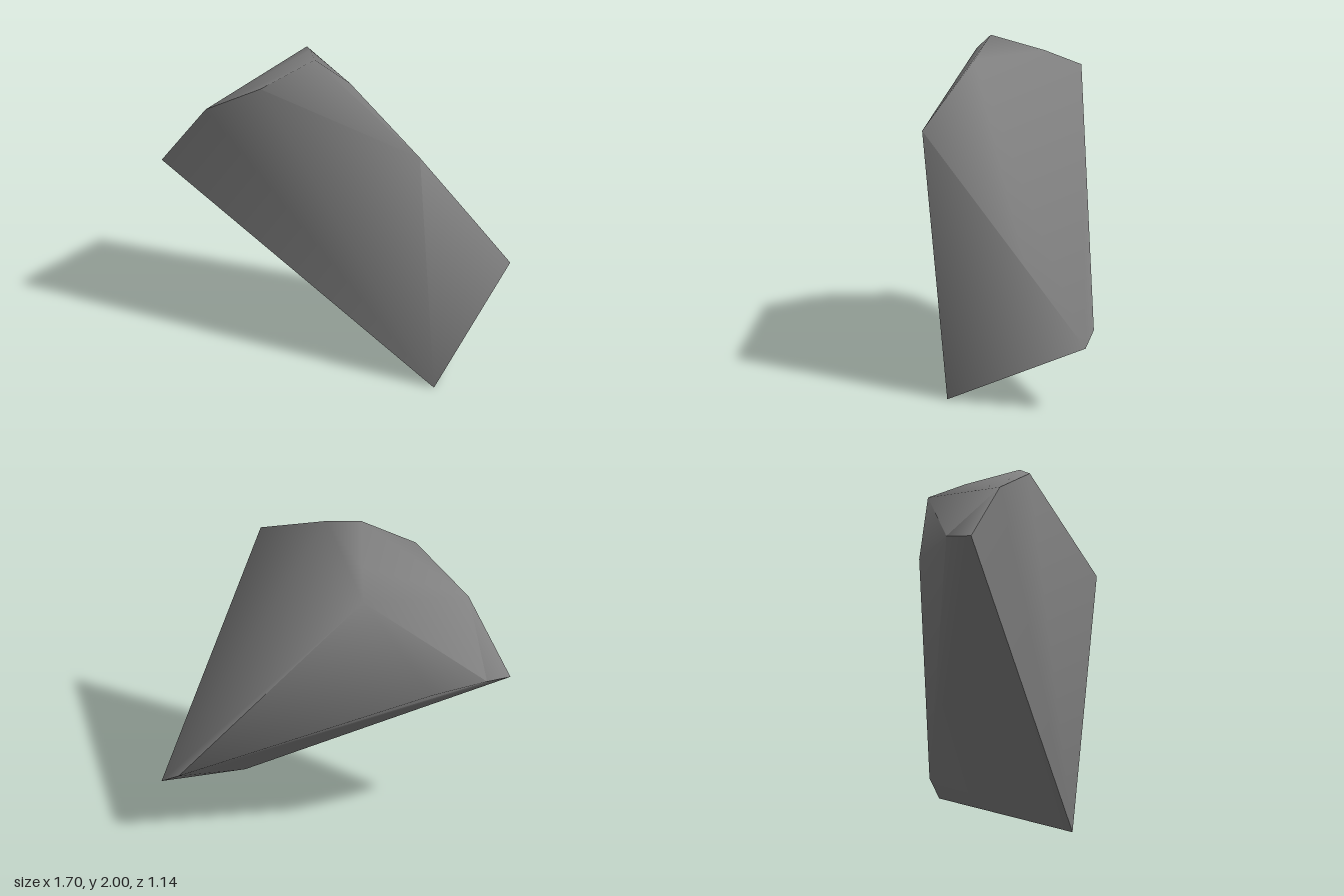
import * as THREE from 'three';
import { ConvexGeometry } from 'three/addons/geometries/ConvexGeometry.js';
import { toCreasedNormals } from 'three/addons/utils/BufferGeometryUtils.js';

export function createModel() {
  const group = new THREE.Group();
  group.name = 'rockFragment';

  const stone = new THREE.MeshStandardMaterial({ color: 0x808080 });
  stone.name = 'stone grey';

  // Corners of the broken boulder
  const corners = [
    // slanted broken underside
    [0.85, 0, 0.31], [-0.85, 1.155, 0.545], [-0.81, 1.21, 0.36], [-0.62, 1.2, 0.08],
    [0.58, 0.57, -0.48], [0.73, 0.49, -0.57], [0.85, 0.41, -0.57],
    // flat cut on the side
    [0.85, 1.61, 0.47], [0.85, 0.85, -0.19], [0.75, 0.68, -0.39],
    // rounded crown
    [0.08, 2, 0.37], [0.32, 1.91, 0.37], [-0.1, 1.89, 0.11], [-0.23, 1.79, -0.07],
    // front brow
    [-0.17, 1.83, 0.57], [-0.54, 1.59, 0.57],
  ].map((p) => new THREE.Vector3(...p));

  // Smooth everywhere except along the sharp rim of the underside
  const rock = new THREE.Mesh(toCreasedNormals(new ConvexGeometry(corners), 1.55), stone);
  rock.name = 'rock';
  group.add(rock);
  return group;
}
